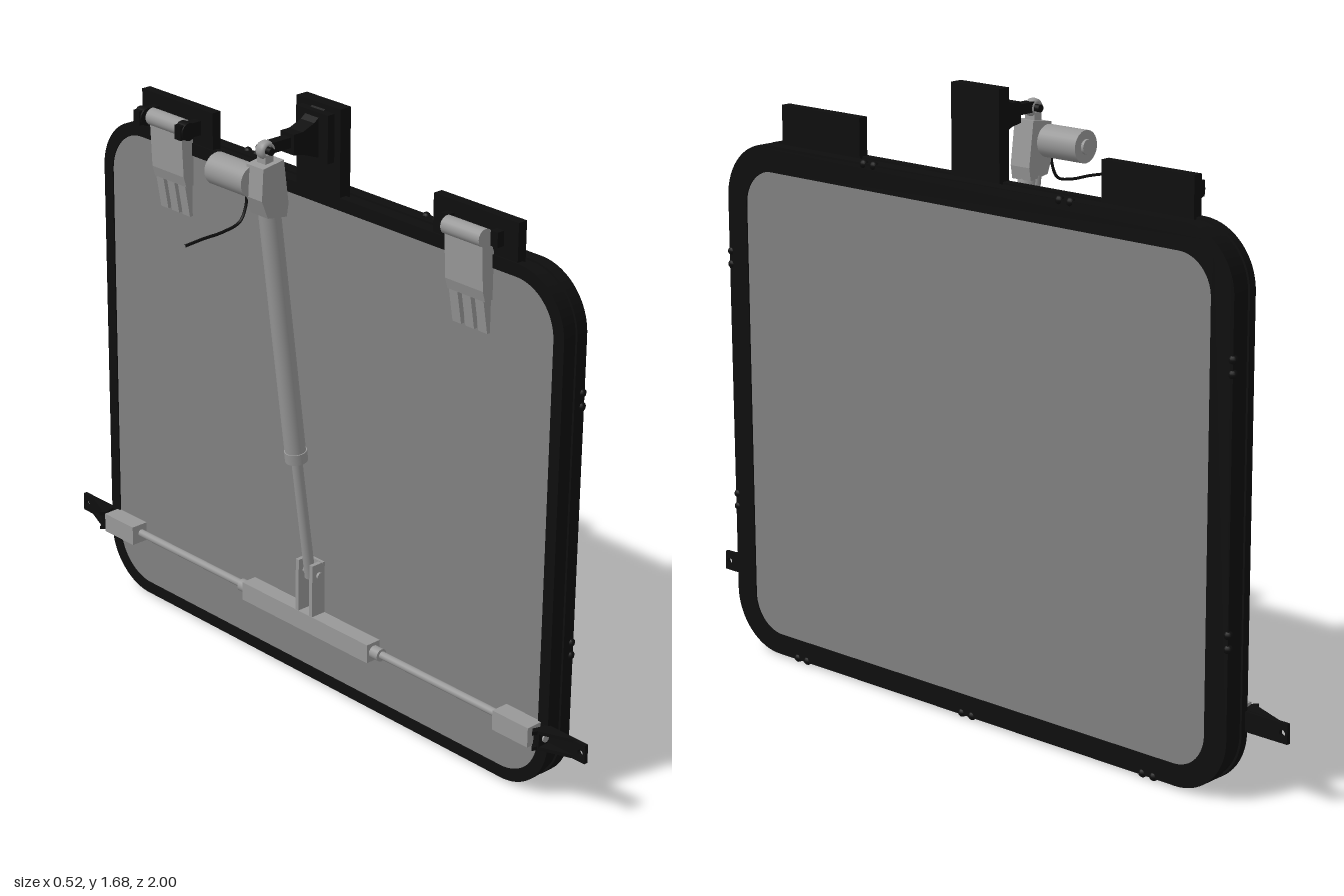
import * as THREE from 'three';

const mat = (name, color, side = THREE.FrontSide) =>
  Object.assign(new THREE.MeshStandardMaterial({ color, side }), { name });

export function createModel() {
  const root = new THREE.Group();
  root.name = 'motorisedHatch';
  const black = mat('black', 0x0e0e0e);
  const panelGrey = mat('panelGrey', 0x808080);
  const metal = mat('metalGrey', 0x989898);

  const add = (name, geo, m, x = 0, y = 0, z = 0, parent = root) => {
    const mesh = new THREE.Mesh(geo, m);
    mesh.name = name;
    mesh.position.set(x, y, z);
    parent.add(mesh);
    return mesh;
  };
  // Box given by its limits on each axis
  const box = (name, m, x0, x1, y0, y1, z0, z1, parent) =>
    add(name, new THREE.BoxGeometry(x1 - x0, y1 - y0, z1 - z0), m,
      (x0 + x1) / 2, (y0 + y1) / 2, (z0 + z1) / 2, parent);
  // Cylinder between two points
  const rod = (name, m, a, b, r, sides = 24, parent) => {
    const p = new THREE.Vector3(...a), q = new THREE.Vector3(...b);
    const dir = q.clone().sub(p);
    const mesh = add(name, new THREE.CylinderGeometry(r, r, dir.length(), sides), m, 0, 0, 0, parent);
    mesh.position.copy(p).add(q).multiplyScalar(0.5);
    mesh.quaternion.setFromUnitVectors(new THREE.Vector3(0, 1, 0), dir.normalize());
    return mesh;
  };
  const poly = (pts) => new THREE.Shape(pts.map((p) => new THREE.Vector2(...p)));
  // xy profile extruded along z, centred on z
  const slab = (name, m, pts, z, width, parent) => {
    const g = new THREE.ExtrudeGeometry(poly(pts), { depth: width, bevelEnabled: false });
    return add(name, g, m, 0, 0, z - width / 2, parent);
  };
  const roundRect = (w, y0, y1, r, Type = THREE.Shape) => {
    const s = new Type();
    s.moveTo(-w + r, y0);
    s.lineTo(w - r, y0);
    s.absarc(w - r, y0 + r, r, -Math.PI / 2, 0);
    s.lineTo(w, y1 - r);
    s.absarc(w - r, y1 - r, r, 0, Math.PI / 2);
    s.lineTo(-w + r, y1);
    s.absarc(-w + r, y1 - r, r, Math.PI / 2, Math.PI);
    s.lineTo(-w, y0 + r);
    s.absarc(-w + r, y0 + r, r, Math.PI, Math.PI * 1.5);
    return s;
  };
  // Upright zy shape extruded from x0 to x1
  const upright = (name, m, shape, x0, x1, parent) => {
    const g = new THREE.ExtrudeGeometry(shape, { depth: x1 - x0, bevelEnabled: false, curveSegments: 12 });
    g.rotateY(Math.PI / 2);
    return add(name, g, m, x0, 0, 0, parent);
  };

  // Hatch frame: three stacked rings, the middle one slightly smaller
  const ring = (name, inset, hole, x0, x1) => {
    const s = roundRect(0.87 - inset, 0.015 + inset, 1.45 - inset, 0.16 - inset);
    s.holes.push(roundRect(hole[0], hole[1], hole[2], hole[3], THREE.Path));
    upright(name, black, s, x0, x1);
  };
  ring('frameInnerLip', 0, [0.835, 0.048, 1.415, 0.13], 0.168, 0.19);
  ring('frameCore', 0.006, [0.8, 0.072, 1.378, 0.1], 0.19, 0.215);
  ring('frameOuterLip', 0, [0.8, 0.072, 1.378, 0.1], 0.215, 0.25);

  // Panel: wide slab on the mechanism side, smaller slab on the outer side
  upright('innerPanel', panelGrey, roundRect(0.835, 0.048, 1.415, 0.13), 0.172, 0.19);
  upright('outerPanel', panelGrey, roundRect(0.8, 0.072, 1.378, 0.1), 0.19, 0.246);

  // Paired rivets around the rim
  const rivet = (y, z) => add('rimRivet', new THREE.SphereGeometry(0.012, 10, 8), black, 0.244, y, z);
  for (const d of [-0.018, 0.018]) {
    for (const side of [-1, 1]) {
      for (const y of [0.43, 1.12]) rivet(y + d, side * 0.866);
      rivet(1.446, side * 0.337 + d);
    }
    for (const z of [-0.62, 0, 0.62]) rivet(0.019, z + d);
  }

  // Hinges
  for (const side of [-1, 1]) {
    const hinge = new THREE.Group();
    hinge.name = side > 0 ? 'hingeFrontEnd' : 'hingeBackEnd';
    hinge.position.z = side * 0.56;
    root.add(hinge);
    box('hingePlate', black, 0.172, 0.2, 1.44, 1.553, -0.145, 0.145, hinge);
    rod('hingeBarrel', metal, [0.14, 1.5, -0.066], [0.14, 1.5, 0.066], 0.024, 20, hinge);
    slab('hingeLeaf', metal, [[0.13, 1.5], [0.137, 1.36], [0.146, 1.33], [0.175, 1.33], [0.175, 1.45], [0.155, 1.5]], 0, 0.13, hinge);
    for (const z of [-0.045, 0, 0.045]) {
      slab('hingeFinger', metal, [[0.146, 1.33], [0.162, 1.24], [0.175, 1.24], [0.175, 1.33]], z, 0.03, hinge);
    }
    for (const z of [-0.085, 0.085]) {
      const x0 = side < 0 ? 0.1 : 0.15;
      box('hingeLug', black, x0, 0.175, 1.48, 1.52, z - 0.012, z + 0.012, hinge);
      if (side < 0) rod('hingePinCap', black, [0.128, 1.5, z - 0.016], [0.128, 1.5, z + 0.016], 0.025, 16, hinge);
    }
  }

  // Upper actuator mount
  box('mountPlate', black, 0.168, 0.204, 1.44, 1.687, -0.082, 0.082);
  slab('mountGusset', black, [[0.17, 1.54], [0.17, 1.675], [0.13, 1.645], [0.09, 1.63], [0.06, 1.63],
    [0.06, 1.575], [0.09, 1.57], [0.13, 1.555]], 0, 0.05);
  box('mountFoot', black, 0.145, 0.17, 1.54, 1.67, -0.06, 0.06);
  box('mountArm', black, -0.005, 0.07, 1.592, 1.62, -0.014, 0.014);

  // Linear actuator
  const eye = add('actuatorEye', new THREE.TorusGeometry(0.017, 0.008, 10, 24), metal, -0.015, 1.602, 0);
  eye.scale.z = 2;
  rod('eyePin', black, [-0.015, 1.602, -0.026], [-0.015, 1.602, 0.026], 0.01, 16);
  slab('gearbox', metal, [[-0.055, 1.48], [-0.035, 1.43], [0.03, 1.42], [0.036, 1.455], [0.02, 1.575], [-0.05, 1.565]], 0, 0.064);
  box('gearboxNeck', metal, -0.028, -0.002, 1.565, 1.592, -0.016, 0.016);
  rod('motor', metal, [-0.037, 1.517, -0.16], [-0.037, 1.517, -0.02], 0.043, 32);
  rod('motorCap', metal, [-0.037, 1.517, -0.168], [-0.037, 1.517, -0.16], 0.02, 20);
  rod('actuatorTube', metal, [0, 1.44, 0], [0.096, 0.71, 0], 0.028, 28);
  rod('tubeRail', metal, [-0.005, 1.43, -0.022], [0.09, 0.72, -0.022], 0.012, 12);
  rod('tubeCollar', metal, [0.093, 0.735, 0], [0.097, 0.705, 0], 0.031, 28);
  rod('actuatorRod', metal, [0.096, 0.715, 0], [0.149, 0.34, 0], 0.015, 20);
  const cable = new THREE.CatmullRomCurve3([[-0.05, 1.49], [-0.055, 1.45], [-0.075, 1.415], [-0.13, 1.402],
    [-0.2, 1.4], [-0.26, 1.396]].map(([x, y]) => new THREE.Vector3(x, y, -0.03)));
  add('cable', new THREE.TubeGeometry(cable, 30, 0.004, 6), black);

  // Lower clevis and its pin
  for (const z of [-0.027, 0.027]) {
    slab('clevisCheek', metal, [[0.126, 0.23], [0.172, 0.23], [0.172, 0.375], [0.16, 0.39], [0.126, 0.39]], z, 0.012);
  }
  box('clevisBack', metal, 0.164, 0.173, 0.23, 0.39, -0.033, 0.033);
  rod('clevisPin', metal, [0.15, 0.355, -0.04], [0.15, 0.355, 0.04], 0.01, 14);

  // Locking bar across the bottom
  box('lockHousing', metal, 0.125, 0.172, 0.182, 0.236, -0.25, 0.25);
  for (const s of [-1, 1]) {
    const span = (a, b) => (s > 0 ? [a, b] : [-b, -a]);
    rod('lockCollar', metal, [0.15, 0.209, s * 0.25], [0.15, 0.209, s * 0.28], 0.018, 16);
    rod('lockRod', metal, [0.152, 0.209, s * 0.25], [0.152, 0.209, s * 0.88], 0.011, 14);
    box('lockGuide', metal, 0.12, 0.172, 0.18, 0.236, ...span(0.72, 0.845));

    // End keeper: drilled plate with a sloping gusset
    const tab = poly([[-s * 0.85, 0.18], [-s, 0.18], [-s, 0.233], [-s * 0.85, 0.233]]);
    const hole = new THREE.Path();
    hole.absarc(-s * 0.984, 0.206, 0.009, 0, Math.PI * 2);
    tab.holes.push(hole);
    upright('keeperPlate', black, tab, 0.166, 0.177);
    const wedge = poly([[0.17, s * 0.97], [0.13, s * 0.87], [0.115, s * 0.865], [0.13, s * 0.852], [0.17, s * 0.865]]);
    for (const y of [0.18, 0.225]) {
      const g = new THREE.ExtrudeGeometry(wedge, { depth: 0.01, bevelEnabled: false });
      g.rotateX(Math.PI / 2); // profile y becomes z
      add('keeperGusset', g, black, 0, y + 0.01, 0);
    }
    box('keeperBlock', black, 0.13, 0.168, 0.186, 0.228, ...span(0.856, 0.875));
  }
  return root;
}
